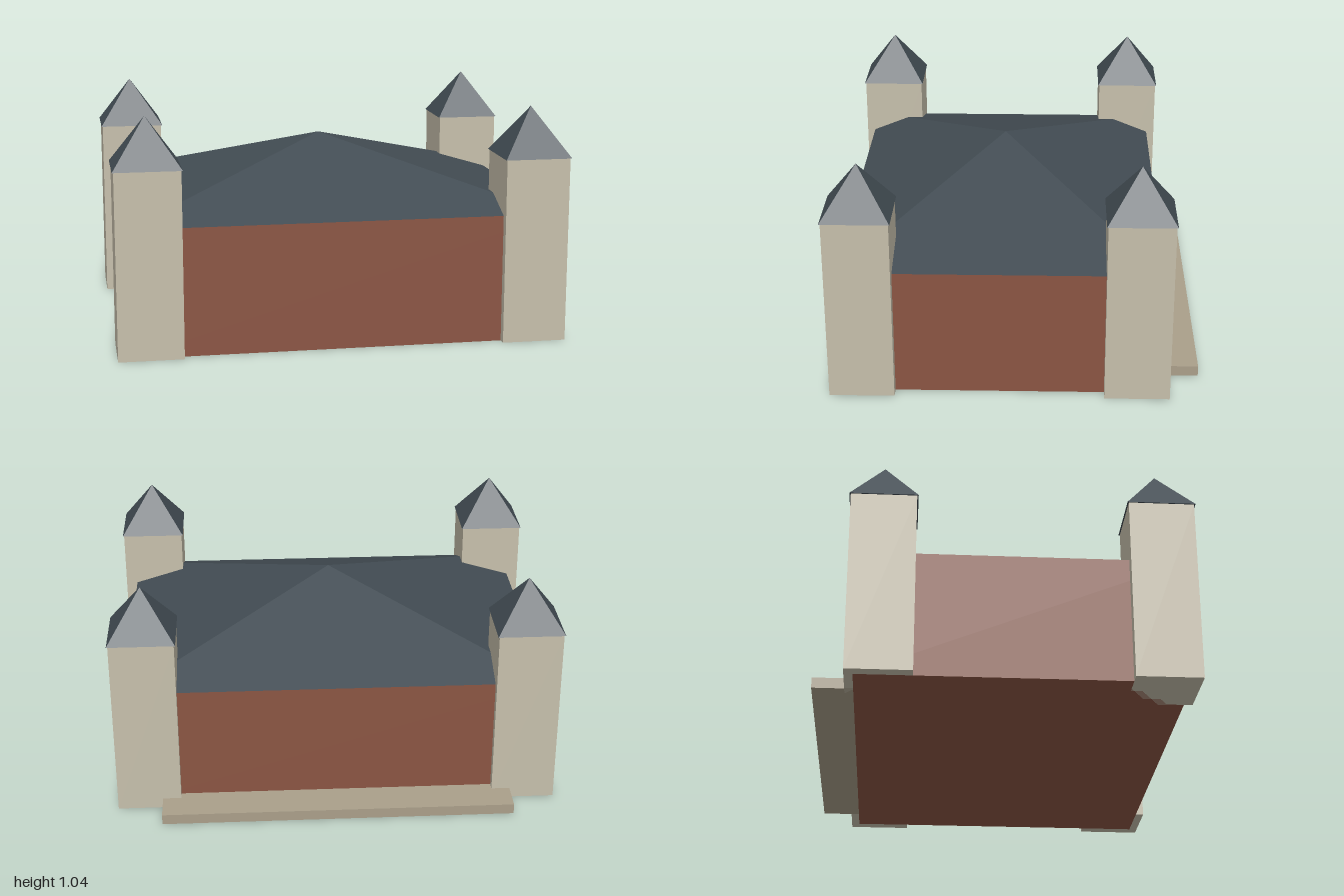
import * as THREE from 'three';

const paint = (color) => new THREE.MeshStandardMaterial({ color, flatShading: true });

export function createModel() {
  const model = new THREE.Group();
  model.name = 'cornerTowerHouse';

  const brick = paint(0x8b5543);
  const stone = paint(0xc6bfab);
  const slate = paint(0x424c53);
  const paving = paint(0xaa9f8a);

  const add = (parent, name, geometry, material, x, y, z) => {
    const mesh = new THREE.Mesh(geometry, material);
    mesh.name = name;
    mesh.position.set(x, y, z);
    parent.add(mesh);
  };

  // Box and four-sided pyramid, both standing on their base
  const block = (w, h, d) => new THREE.BoxGeometry(w, h, d).translate(0, h / 2, 0);
  const pyramid = (w, h, d) => new THREE.ConeGeometry(Math.SQRT1_2, 1, 4)
    .rotateY(Math.PI / 4).scale(w, h, d).translate(0, h / 2, 0);

  // Main hall with its hipped roof
  const hallZ = 0.065;
  add(model, 'hallWalls', block(1.88, 0.57, 1.41), brick, 0, 0, hallZ);
  add(model, 'hallRoof', pyramid(1.88, 0.28, 1.41), slate, 0, 0.57, hallZ);

  // Four corner towers with pointed roofs
  for (const [end, z] of [['front', 0.665], ['back', -0.535]]) {
    for (const [side, x] of [['Left', 0.85], ['Right', -0.85]]) {
      const tower = new THREE.Group();
      tower.name = `${end}${side}Tower`;
      tower.position.set(x, 0, z);
      add(tower, 'towerShaft', block(0.285, 0.825, 0.285), stone, 0, 0, 0);
      add(tower, 'towerRoof', pyramid(0.297, 0.215, 0.297), slate, 0, 0.825, 0);
      model.add(tower);
    }
  }

  // Low terrace along the back wall
  add(model, 'backTerrace', block(1.58, 0.047, 0.175), paving, 0, 0, -0.7275);

  return model;
}
